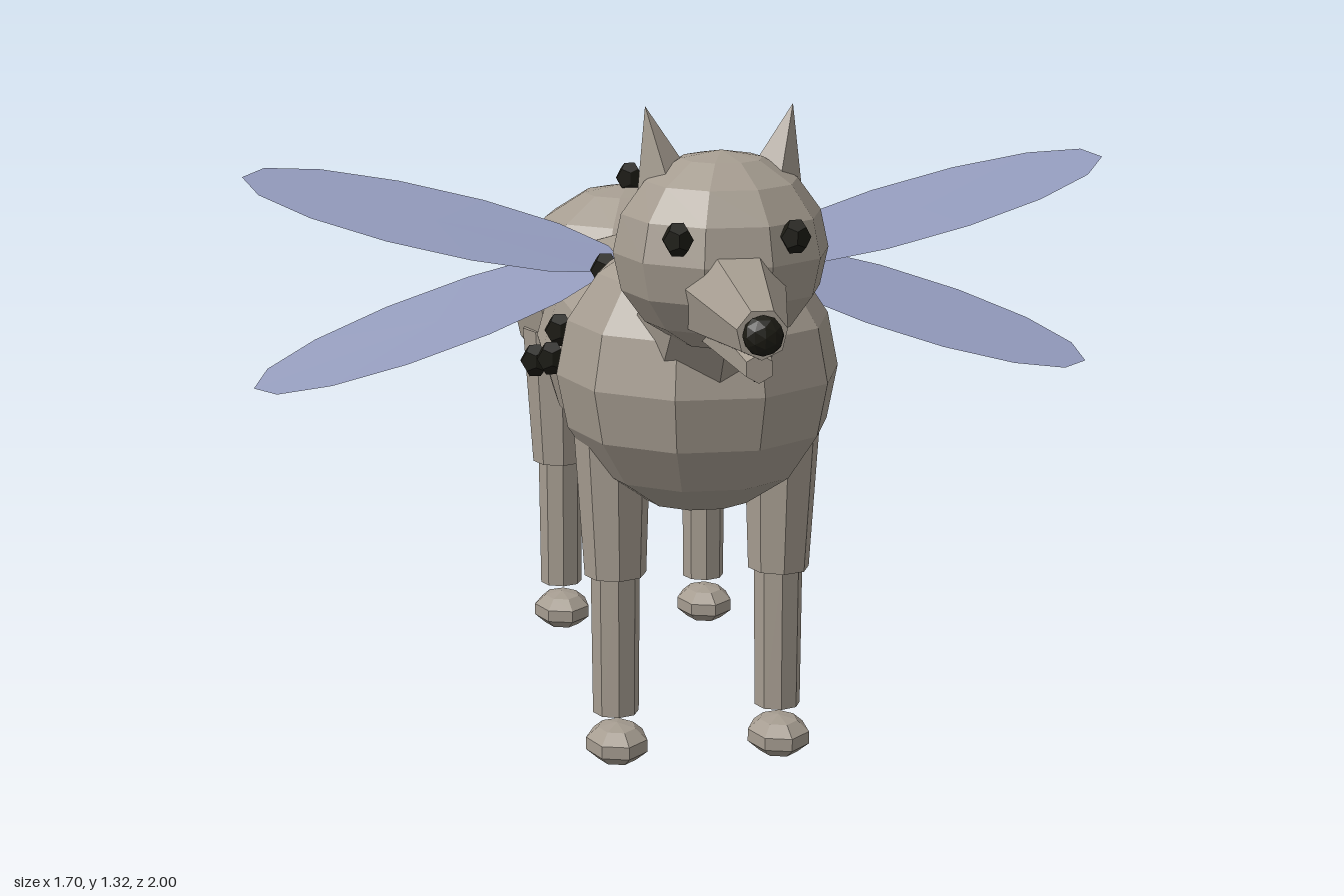
import * as THREE from 'three';

export function createModel() {
  const root = new THREE.Group();
  root.name = 'wingedSpottedAnimal';

  const mat = (name, color, extra = {}) =>
    new THREE.MeshStandardMaterial({ name, color, flatShading: true, ...extra });
  const fur = mat('greyFur', 0xa59c90);
  const black = mat('blackSpots', 0x1c1b14);
  const wingBlue = mat('paleBlueWing', 0xaab3da, { side: THREE.DoubleSide });

  const add = (name, geometry, material, p = [0, 0, 0], scale = [1, 1, 1]) => {
    const mesh = new THREE.Mesh(geometry, material);
    mesh.name = name;
    mesh.position.set(...p);
    mesh.scale.set(...scale);
    root.add(mesh);
    return mesh;
  };

  const ball = (name, r, p, scale, segs = 10, rings = 8) =>
    add(name, new THREE.SphereGeometry(r, segs, rings), fur, p, scale);

  // Tapered rod running from point a to point b
  const rod = (name, a, b, ra, rb, sides = 8) => {
    const from = new THREE.Vector3(...a), to = new THREE.Vector3(...b);
    const dir = to.clone().sub(from);
    const mesh = add(name, new THREE.CylinderGeometry(rb, ra, dir.length(), sides), fur,
      from.add(to).multiplyScalar(0.5).toArray());
    mesh.quaternion.setFromUnitVectors(new THREE.Vector3(0, 1, 0), dir.normalize());
    return mesh;
  };

  const spot = (name, p, r = 0.035, depth = 0.42) =>
    add(name, new THREE.DodecahedronGeometry(r), black, p, [0.9, 1, depth]);

  // Body: chest, torso and rump
  ball('chest', 0.272, [0, 0.78, 0.285]);
  ball('rump', 0.25, [0, 0.745, -0.675], [1.04, 0.96, 1]);
  const profile = [[0, -0.66], [0.13, -0.6], [0.2, -0.48], [0.232, -0.33], [0.238, -0.17],
    [0.225, 0], [0.19, 0.13], [0, 0.22]].map(([r, z]) => new THREE.Vector2(r, z));
  const torso = new THREE.LatheGeometry(profile, 12).rotateX(Math.PI / 2);
  add('torso', torso, fur, [0, 0.727, 0], [1.04, 0.97, 1]);
  rod('tail', [0, 0.885, -0.865], [0, 0.78, -1], 0.042, 0, 5);

  // Neck and head
  rod('neck', [0, 0.85, 0.38], [0, 1.0, 0.52], 0.15, 0.13);
  ball('head', 0.198, [0, 1.06, 0.545], [1, 0.92, 1]);
  rod('snout', [0, 1.0, 0.66], [0, 0.99, 0.965], 0.1, 0.045, 7);
  rod('lowerJaw', [0, 0.94, 0.6], [0, 0.925, 0.94], 0.06, 0.026, 6);
  add('nose', new THREE.IcosahedronGeometry(0.036, 1), black, [0, 0.99, 0.974], [1, 1, 0.72]);
  for (const z of [0.8, 0.915]) spot('mouthMark', [0, 0.91, z], 0.014, 1.2);

  for (const s of [1, -1]) {
    rod('ear', [s * 0.1, 1.18, 0.53], [s * 0.135, 1.32, 0.52], 0.052, 0, 4);
    spot('eye', [s * 0.105, 1.11, 0.71], 0.032, 0.7);

    // Legs with separate feet
    for (const [end, z] of [['front', 0.28], ['back', -0.627]]) {
      rod(end + 'UpperLeg', [s * 0.16, 0.38, z], [s * 0.165, 0.68, z], 0.06, 0.075);
      rod(end + 'LowerLeg', [s * 0.16, 0.1, z - 0.003], [s * 0.16, 0.4, z - 0.003], 0.045, 0.048);
      ball(end + 'Foot', 1, [s * 0.16, 0.042, z + 0.012], [0.064, 0.04, 0.082], 7, 5);
    }

    // Flat leaf-shaped wings, upper edge leaning back
    for (const [name, x, y, z, angle, half] of [
      ['upperWing', 0.48, 1.043, 0.07, 0.25, 0.38],
      ['lowerWing', 0.475, 0.838, 0.032, -0.33, 0.383],
    ]) {
      const outline = new THREE.CircleGeometry(1, 14).scale(half, 0.062, 1)
        .rotateX(-0.3).rotateZ(s * angle);
      add(name, outline, wingBlue, [s * x, y, z]);
    }
  }

  // Scattered spots on both flanks and the back
  for (const p of [
    [0, 1.0, -0.655], [0.2, 0.89, -0.555], [0.25, 0.815, -0.593], [0.25, 0.68, -0.455],
    [-0.06, 1.0, 0.08], [-0.155, 0.945, 0.115], [-0.23, 0.8, -0.02],
    [-0.25, 0.75, 0.01], [-0.265, 0.71, -0.155],
  ]) spot('spot', p);

  return root;
}
